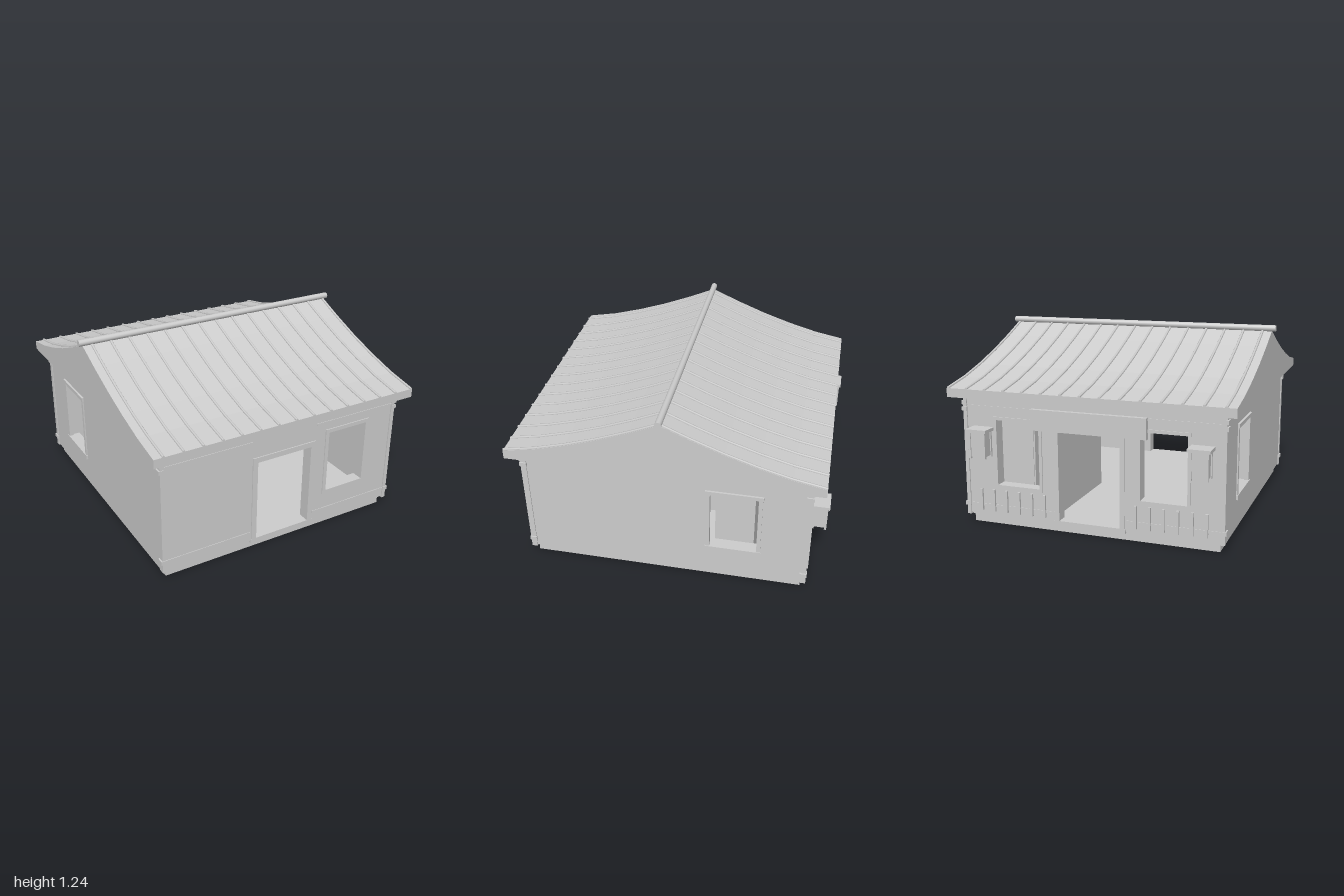
import * as THREE from 'three';

const grey = new THREE.MeshStandardMaterial({ color: 0xcccccc });
grey.name = 'plain grey';

export function createModel() {
  const model = new THREE.Group();
  model.name = 'house';
  const house = new THREE.Group();
  house.name = 'houseBody';
  house.position.z = 0.015;
  model.add(house);

  const add = (name, geometry) => {
    const mesh = new THREE.Mesh(geometry, grey);
    mesh.name = name;
    house.add(mesh);
    return mesh;
  };
  // box given by its limits on each axis
  const box = (name, x0, x1, y0, y1, z0, z1) => {
    const g = new THREE.BoxGeometry(x1 - x0, y1 - y0, z1 - z0);
    g.translate((x0 + x1) / 2, (y0 + y1) / 2, (z0 + z1) / 2);
    return add(name, g);
  };
  const rect = (P, u0, u1, v0, v1) => {
    const p = new P();
    p.moveTo(u0, v0).lineTo(u1, v0).lineTo(u1, v1).lineTo(u0, v1).closePath();
    return p;
  };

  const WX = 0.843, WZ = 0.908, T = 0.07, Y0 = 0.065, Y1 = 0.83;
  const WIN = [0.27, 0.69];
  const wall = (halfWidth, holes) => {
    const s = rect(THREE.Shape, -halfWidth, halfWidth, Y0, Y1);
    s.holes = holes.map(h => rect(THREE.Path, ...h));
    return new THREE.ExtrudeGeometry(s, { depth: T, bevelEnabled: false });
  };

  // base and floor
  box('plinth', -0.815, 0.815, 0, Y0, -0.88, 0.88);
  box('floor', -WX + 0.01, WX - 0.01, 0.055, 0.08, -WZ + 0.01, WZ - 0.01);

  // walls with door and window openings
  const door = [-0.195, 0.195, 0.08, 0.625];
  const backDoor = [-0.2, 0.2, 0.08, 0.645];
  const rightWin = [0.33, 0.62, ...WIN], leftWin = [-0.62, -0.33, ...WIN];
  const sideWin = [-0.605, -0.275, ...WIN];
  add('frontWall', wall(WX, [door, rightWin])).position.z = WZ - T;
  add('backWall', wall(WX, [backDoor, rightWin, leftWin])).position.z = -WZ;
  for (const s of [-1, 1]) {
    const side = add(s > 0 ? 'leftSideWall' : 'rightSideWall',
      wall(WZ - T, [sideWin]).rotateY(-Math.PI / 2));
    side.position.x = s > 0 ? WX : -WX + T;
  }

  // thin frames round the front and back openings
  const frame = (name, [a, b, c, d], s, w, foot) => {
    const z = s * WZ, z0 = Math.min(z, z + s * 0.007), z1 = z0 + 0.007;
    box(name + 'Head', a - w, b + w, d, d + w, z0, z1);
    box(name + 'Post', a - w, a, c, d, z0, z1);
    box(name + 'Post', b, b + w, c, d, z0, z1);
    if (foot) box(name + 'Sill', a - w, b + w, c - w, c, z0, z1);
  };
  frame('frontDoorFrame', door, 1, 0.035, false);
  frame('frontWindowFrame', rightWin, 1, 0.025, true);
  frame('backDoorFrame', backDoor, -1, 0.03, false);
  frame('backWindowFrame', rightWin, -1, 0.02, true);
  frame('backWindowFrame', leftWin, -1, 0.02, true);
  box('frontThreshold', -0.235, 0.235, 0.05, 0.08, 0.84, WZ + 0.007);
  box('backThreshold', -0.235, 0.235, 0.05, 0.08, -WZ - 0.007, -0.84);

  // low and high wall rails
  for (const s of [-1, 1]) for (const z of [-WZ, WZ]) {
    const [a, b] = s > 0 ? [0.235, WX] : [-WX, -0.235];
    box('lowRail', a, b, 0.12, 0.135, z - 0.004, z + 0.004);
    box('highRail', a, b, 0.76, 0.775, z - 0.004, z + 0.004);
  }

  // side window bars, posts, corner posts and their brackets
  for (const s of [-1, 1]) {
    const xs = d => [s * (WX - 0.02), s * (WX + d)].sort((a, b) => a - b);
    box('windowHead', ...xs(0.013), 0.69, 0.715, -0.62, -0.26);
    box('windowSill', ...xs(0.013), 0.24, 0.27, -0.62, -0.26);
    for (const z of [-0.615, -0.29])
      box('windowPost', ...xs(0.008), 0.27, 0.69, z, z + 0.025);
    for (const t of [-1, 1]) {
      const zs = [t * (WZ - 0.03), t * (WZ + 0.007)].sort((a, b) => a - b);
      box('cornerPost', ...xs(0.006), 0.055, Y1, ...zs);
      for (const y of [0.115, 0.735, 0.775])
        box('cornerBracket', ...xs(0.015), y, y + 0.025, zs[0] - 0.004, zs[1] + 0.004);
    }
  }

  // inside: dividing wall and cupboard
  box('dividingWall', 0.25, 0.29, 0.08, Y1, -0.85, -0.1);
  box('cupboard', 0.545, 0.775, 0.08, 0.75, -0.565, -0.315);
  box('cupboardDoor', 0.535, 0.545, 0.09, 0.74, -0.56, -0.32);
  for (const y of [0.3, 0.45])
    box('cupboardHandle', 0.527, 0.536, y, y + 0.03, -0.45, -0.43);

  // back door canopy, balusters and lanterns
  box('canopyBoard', -0.375, 0.375, 0.65, 0.78, -0.937, -WZ);
  for (const s of [-1, 1]) {
    for (let i = 0; i < 6; i++) {
      const x = s * (0.3 + i * 0.088);
      box('baluster', x - 0.008, x + 0.008, 0.09, 0.235, -0.922, -WZ + 0.002);
    }
    const c = s * 0.71;
    box('lanternRoof', c - 0.07, c + 0.07, 0.622, 0.642, -1.015, -WZ);
    box('lanternBody', c - 0.05, c + 0.05, 0.465, 0.622, -0.998, -0.918);
    for (const dx of [-0.05, 0.05]) for (const z of [-0.998, -0.922])
      box('lanternPost', c + dx - 0.007, c + dx + 0.007, 0.455, 0.622, z - 0.007, z + 0.007);
    box('lanternBracket', c - 0.015, c + 0.015, 0.5, 0.6, -0.92, -WZ);
  }

  // solid gabled roof with curved slopes
  const slope = [[0.985, 0.887], [0.785, 0.925], [0.585, 0.98], [0.385, 1.047], [0.185, 1.125], [0, 1.205]];
  const outline = [[-0.985, Y1], [0.985, Y1], ...slope,
    ...slope.slice(0, -1).reverse().map(([z, y]) => [-z, y])];
  const roofShape = new THREE.Shape(outline.map(p => new THREE.Vector2(...p)));
  const roof = add('roof', new THREE.ExtrudeGeometry(roofShape, { depth: 1.836, bevelEnabled: false })
    .rotateY(-Math.PI / 2));
  roof.position.x = 0.918;

  // standing ribs down both slopes
  for (const s of [-1, 1]) {
    const path = new THREE.CurvePath();
    const pts = slope.map(([z, y]) => new THREE.Vector3(0, y + 0.002, s * z));
    for (let i = 0; i + 1 < pts.length; i++) path.add(new THREE.LineCurve3(pts[i], pts[i + 1]));
    const rib = new THREE.TubeGeometry(path, 20, 0.009, 6, false);
    for (let i = 0; i < 15; i++) add('roofRib', rib).position.x = -0.857 + i * 0.126;
    for (let i = 0; i < 15; i++) {
      const x = -0.857 + i * 0.126;
      const cap = add('ribEnd', new THREE.CircleGeometry(0.009, 6));
      cap.position.set(x, 0.889, s * 0.985);
      if (s < 0) cap.rotation.y = Math.PI;
    }
  }

  // ridge pole
  const ridge = add('ridgePole', new THREE.CylinderGeometry(0.021, 0.021, 1.886, 12).rotateZ(Math.PI / 2));
  ridge.position.y = 1.221;

  return model;
}
